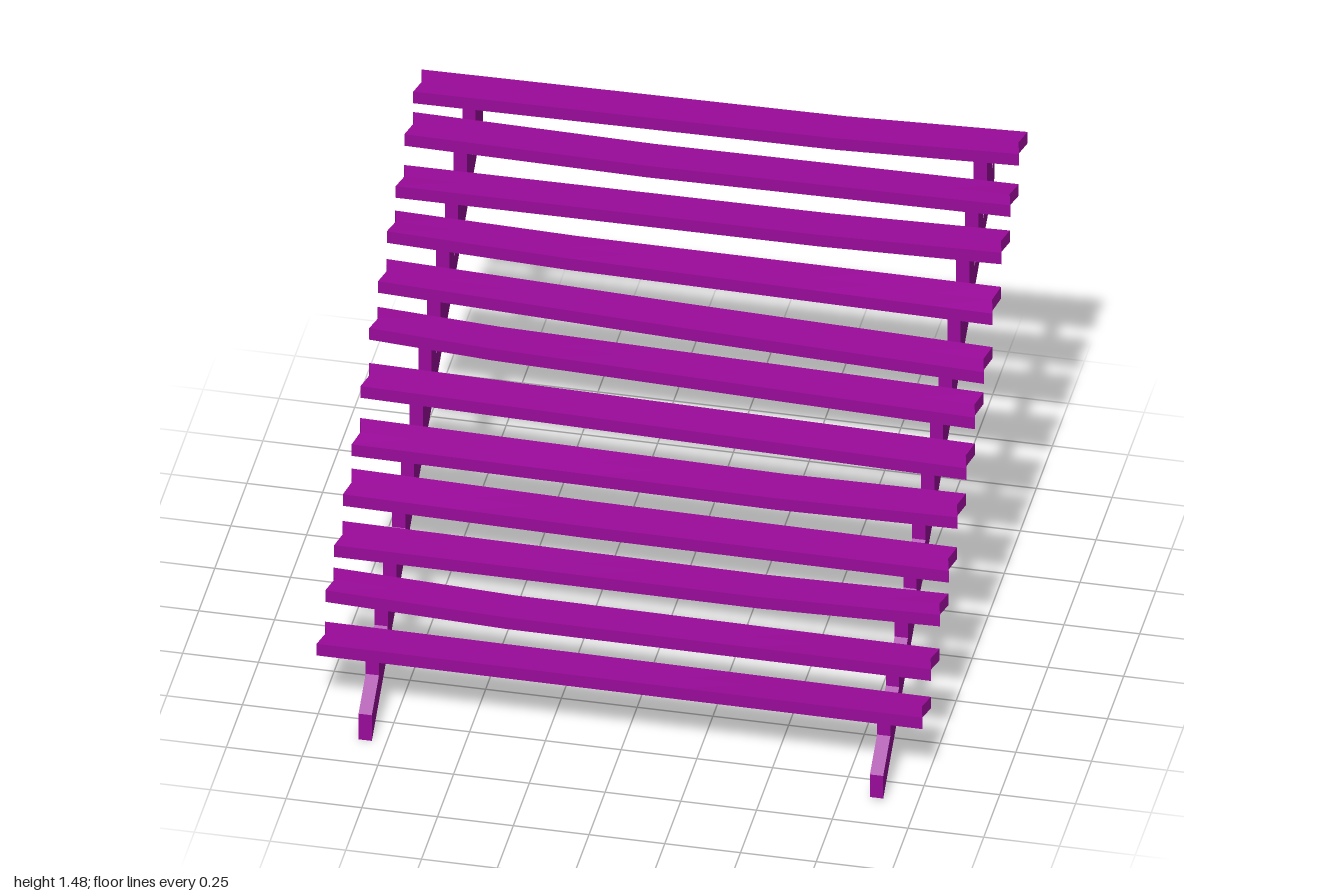
import * as THREE from 'three';

// Each tread: [front-face centre height at x = -1, bend x, height at bend, height at x = 1, back rise at -x, back rise at +x]
const TREADS = [
  [0.267, 0.0, 0.264, 0.260, 0.0, -0.006],
  [0.385, -0.4, 0.363, 0.357, 0.002, -0.006],
  [0.470, 0.4, 0.465, 0.479, 0.008, -0.004],
  [0.578, -0.2, 0.565, 0.559, 0.014, 0.006],
  [0.682, 0.4, 0.668, 0.678, 0.016, 0.006],
  [0.818, 0.0, 0.798, 0.778, 0.004, 0.010],
  [0.954, -0.6, 0.930, 0.885, -0.004, 0.012],
  [1.046, 0.0, 1.005, 0.971, 0.0, 0.012],
  [1.150, -0.4, 1.128, 1.109, -0.006, 0.018],
  [1.235, 0.4, 1.241, 1.256, -0.004, 0.0],
  [1.347, -0.2, 1.336, 1.350, 0.0, -0.004],
  [1.422, 0.4, 1.436, 1.459, 0.0, 0.0],
];
const THICK = 0.045, DEPTH = 0.131, PITCH = 0.137, FIRST_Z = 0.71;
const STRINGERS = [['rightStringer', -0.82, 0], ['leftStringer', 0.868, 0.012]];
const SLOPE = 0.733, END_Z = 0.867;

const lerp = THREE.MathUtils.lerp;

// Height of a tread's centre at x, and at z measured from the tread's middle
function treadY([yl, bx, yb, yr, rl, rr], x, z) {
  const y = x < bx ? lerp(yl, yb, (x + 1) / (bx + 1)) : lerp(yb, yr, (x - bx) / (1 - bx));
  return y + lerp(rl, rr, (x + 1) / 2) * (0.5 - z / DEPTH);
}

export function createModel() {
  const group = new THREE.Group();
  const material = new THREE.MeshStandardMaterial({ color: 0x990a99, flatShading: true });
  const add = (name, geometry) => {
    const mesh = new THREE.Mesh(geometry, material);
    mesh.name = name;
    group.add(mesh);
    return mesh;
  };

  // Warped treads with notched ends
  TREADS.forEach((tread, i) => {
    const geo = new THREE.BoxGeometry(2, THICK, DEPTH, 10, 1, 2);
    const p = geo.attributes.position;
    for (let k = 0; k < p.count; k++) {
      const x = p.getX(k), z = p.getZ(k);
      p.setY(k, p.getY(k) + treadY(tread, x, z));
      if (Math.abs(x) > 0.99 && Math.abs(z) < 0.01) p.setX(k, x - Math.sign(x) * 0.016);
    }
    geo.computeVertexNormals();
    add('tread' + (i + 1), geo).position.z = FIRST_Z - i * PITCH;
  });

  // Sloping stringers and the posts carrying each tread
  for (const [name, x, base] of STRINGERS) {
    const width = 0.044;
    // Profile coordinates: u = -z, v = y
    const extrude = (points) => {
      const shape = new THREE.Shape(points.map(([u, v]) => new THREE.Vector2(u, v)));
      const geo = new THREE.ExtrudeGeometry(shape, { depth: width, bevelEnabled: false });
      return geo.translate(0, 0, -width / 2).rotateY(Math.PI / 2).translate(x, 0, 0);
    };
    const low = (u) => base + (u + END_Z) * SLOPE;
    const high = (u) => 0.1 + (u + END_Z) * SLOPE;
    add(name, extrude([
      [-END_Z, low(-END_Z)], [END_Z, low(END_Z)], [END_Z, high(END_Z)], [-END_Z, high(-END_Z)],
    ]));
    TREADS.forEach((tread, i) => {
      const u0 = -(FIRST_Z - i * PITCH) - DEPTH / 2 + 0.02, u1 = u0 + 0.077;
      const top = treadY(tread, x, 0) - THICK / 2 + 0.006;
      // Bottom edge stays buried in the stringer
      add(name + 'Post' + (i + 1), extrude([
        [u0, high(u0) - 0.04], [u1, Math.min(high(u1) - 0.04, top - 0.01)], [u1, top], [u0, top],
      ]));
    });
  }
  return group;
}
